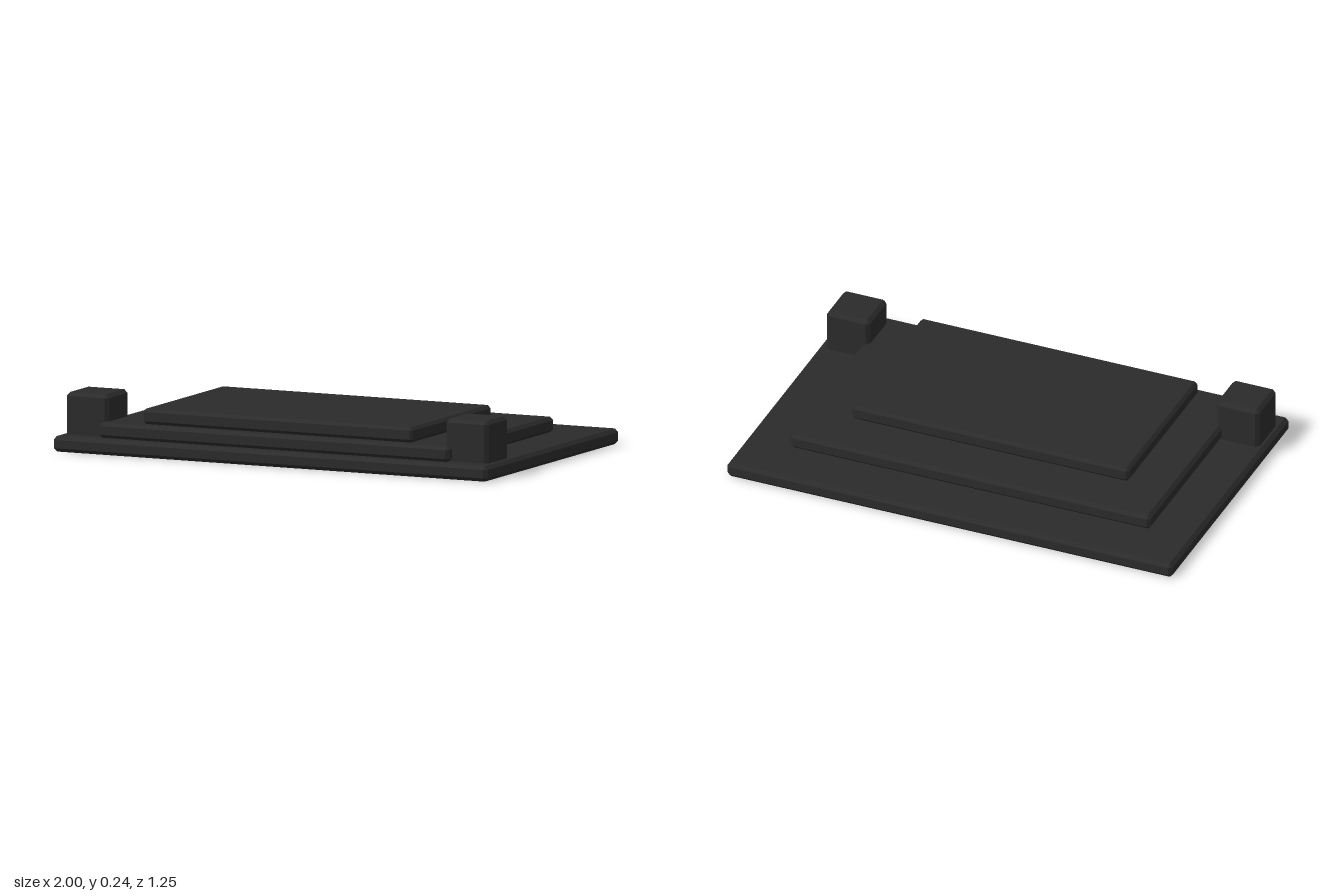
import * as THREE from 'three';
import { ConvexGeometry } from 'three/addons/geometries/ConvexGeometry.js';

// Box between two corners with every edge chamfered by c
function chamferedBox([x0, y0, z0], [x1, y1, z1], c) {
  const half = [(x1 - x0) / 2, (y1 - y0) / 2, (z1 - z0) / 2];
  const points = [];
  for (const sx of [-1, 1]) for (const sy of [-1, 1]) for (const sz of [-1, 1]) {
    // each corner becomes three points, one on each adjoining face
    for (let face = 0; face < 3; face++) {
      const p = [sx, sy, sz].map((s, axis) => s * (half[axis] - (axis === face ? 0 : c)));
      points.push(new THREE.Vector3(...p));
    }
  }
  return new ConvexGeometry(points).translate((x0 + x1) / 2, (y0 + y1) / 2, (z0 + z1) / 2);
}

export function createModel() {
  const model = new THREE.Group();
  model.name = 'steppedPlatform';
  const darkStone = new THREE.MeshStandardMaterial({ color: 0x2b2b2b });
  darkStone.name = 'darkStone';

  function addBlock(name, min, max, chamfer) {
    const mesh = new THREE.Mesh(chamferedBox(min, max, chamfer), darkStone);
    mesh.name = name;
    model.add(mesh);
  }

  // Three slabs stacked towards the front
  addBlock('baseSlab', [-1, 0, -0.623], [1, 0.065, 0.623], 0.015);
  addBlock('middleSlab', [-0.81, 0.064, -0.41], [0.805, 0.129, 0.583], 0.014);
  addBlock('topSlab', [-0.625, 0.129, -0.2], [0.62, 0.193, 0.544], 0.013);

  // Corner posts on the front edge of the base
  addBlock('rightPost', [-0.975, 0.05, 0.35], [-0.78, 0.241, 0.548], 0.015);
  addBlock('leftPost', [0.773, 0.05, 0.35], [0.968, 0.241, 0.548], 0.015);

  return model;
}
